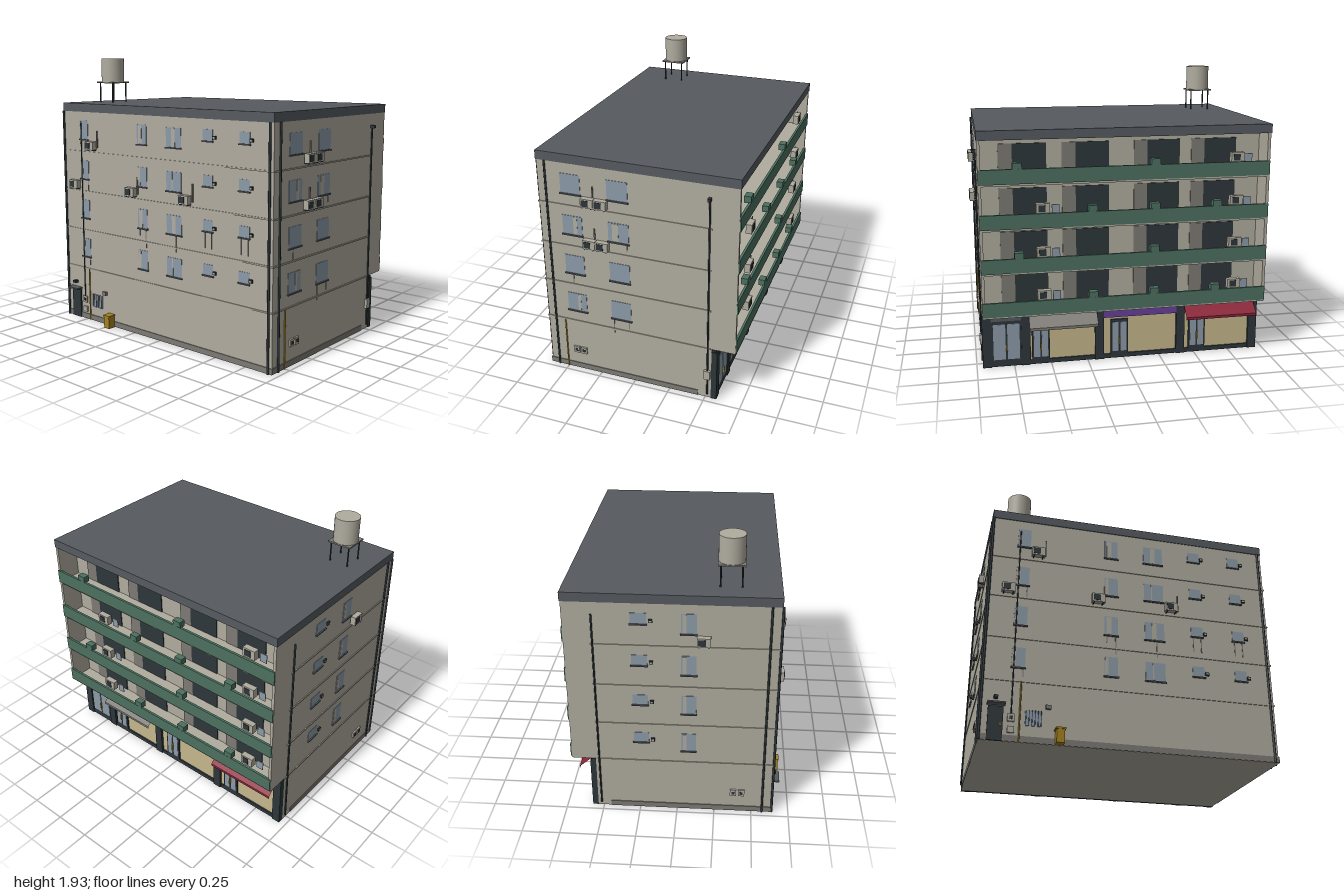
import * as THREE from 'three';

const mat = (name, color, side = THREE.FrontSide) => {
  const m = new THREE.MeshStandardMaterial({ color, side });
  m.name = name;
  return m;
};

export function createModel() {
  const root = new THREE.Group();
  root.name = 'apartmentBlock';
  const wall = mat('plaster', 0xb0ac9f);
  const slate = mat('roofSlate', 0x565b60);
  const stone = mat('greyStone', 0x7d7a74, THREE.DoubleSide);
  const dark = mat('darkMetal', 0x2d363a);
  const glass = mat('windowGlass', 0x8c9ba8);
  const green = mat('balconyGreen', 0x4c7060);
  const yellow = mat('ochre', 0xa3821f);
  const cream = mat('shopCream', 0xc4b78c);
  const purple = mat('signPurple', 0x6a3f9c);
  const red = mat('awningRed', 0x8a2338, THREE.DoubleSide);

  const add = (parent, name, geo, m, x, y, z) => {
    const mesh = new THREE.Mesh(geo, m);
    mesh.name = name;
    mesh.position.set(x, y, z);
    parent.add(mesh);
    return mesh;
  };
  // box given by its ranges along each axis
  const box = (p, name, m, x0, x1, y0, y1, z0, z1) =>
    add(p, name, new THREE.BoxGeometry(x1 - x0, y1 - y0, z1 - z0), m, (x0 + x1) / 2, (y0 + y1) / 2, (z0 + z1) / 2);
  const pipe = (p, name, m, x, y0, y1, z, r = 0.006) =>
    add(p, name, new THREE.CylinderGeometry(r, r, y1 - y0, 8), m, x, (y0 + y1) / 2, z);
  // each facade has local x across, y up and z outwards
  const facade = (name, angle, x, z) => {
    const g = new THREE.Group();
    g.name = name;
    g.rotation.y = angle;
    g.position.set(x, 0, z);
    root.add(g);
    return g;
  };
  const W = 0.955, FZ = 0.63, BZ = -0.54;
  const floors = [0.48, 0.77, 1.06, 1.35];

  // Main volume, plinth and roof
  box(root, 'body', wall, -W, W, 0, 1.55, BZ, FZ);
  box(root, 'plinth', stone, -W - 0.005, W + 0.005, 0.001, 0.04, -0.45, FZ + 0.006);
  box(root, 'roofSlab', slate, -0.96, 0.957, 1.55, 1.61, -0.702, 0.635);

  const front = facade('frontFacade', 0, 0, FZ);
  const right = facade('leftFacade', Math.PI / 2, W, 0);
  const left = facade('rightFacade', -Math.PI / 2, -W, 0);
  const back = facade('backFacade', Math.PI, 0, BZ);

  // Window with a curtain strip and a sill
  const windowUnit = (p, u0, u1, y0, y1, c0, c1) => {
    const w = u1 - u0;
    box(p, 'windowPane', glass, u0, u1, y0, y1, -0.004, 0.003);
    if (c1 > c0) box(p, 'curtain', wall, u0 + w * c0, u0 + w * c1, y0 + 0.008, y1 - 0.006, -0.004, 0.0045);
    box(p, 'windowSill', slate, u0 - 0.005, u1 + 0.005, y0 - 0.006, y0 + 0.003, -0.004, 0.011);
  };
  const stain = (p, u, y0, y1) => box(p, 'drainStrip', stone, u - 0.003, u + 0.003, y0, y1, -0.001, 0.003);
  const vent = (p, u, y) => {
    box(p, 'ventBox', dark, u - 0.012, u + 0.012, y - 0.01, y + 0.012, 0, 0.012);
    box(p, 'ventFace', wall, u - 0.008, u + 0.008, y - 0.005, y + 0.005, 0.01, 0.014);
  };
  const airConditioner = (p, u, y, w = 0.085, riser = 0) => {
    const g = new THREE.Group();
    g.name = 'airConditioner';
    g.position.set(u, y, 0);
    p.add(g);
    box(g, 'casing', wall, -w / 2, w / 2, -0.03, 0.03, 0.006, 0.042);
    box(g, 'fanGrille', dark, -0.034, 0.012, -0.021, 0.021, 0.038, 0.045);
    for (const s of [-1, 1]) box(g, 'bracket', dark, s * 0.03 - 0.003, s * 0.03 + 0.003, -0.036, -0.03, 0, 0.042);
    if (riser) box(g, 'riser', stone, riser - 0.004, riser + 0.004, -0.015, 0.105, 0, 0.008);
  };
  const meter = (p, u, y) => {
    box(p, 'meterBox', wall, u - 0.021, u + 0.021, y - 0.024, y + 0.024, 0, 0.012);
    box(p, 'meterDial', dark, u - 0.01, u + 0.01, y - 0.01, y + 0.01, 0.01, 0.015);
  };

  // Front windows
  floors.forEach((y, i) => {
    windowUnit(front, -0.785, -0.7, y, y + 0.137, i % 2 ? 0.05 : 0.02, i % 2 ? 0.15 : 0.3);
    windowUnit(front, -0.195, -0.105, y, y + 0.137, i % 2 ? 0.15 : 0.05, i % 2 ? 0.5 : 0.3);
    windowUnit(front, 0.078, 0.212, y - 0.002, y + 0.13, 0.36, i % 2 ? 0.6 : 0.42);
    for (const u of [0.4, 0.695]) {
      windowUnit(front, u, u + 0.083, y + 0.06, y + 0.135, 0, 0);
      vent(front, u + 0.098, y + 0.085);
      if (i === 1) for (const d of [0.015, 0.07]) stain(front, u + d, y - 0.05, y + 0.06);
    }
  });
  [[-0.71, 0.42, 0.48], [-0.71, 0.98, 1.06], [-0.18, 0.72, 0.77], [-0.12, 0.64, 0.77], [0.16, 0.65, 0.77]]
    .forEach(([u, a, b]) => stain(front, u, a, b));
  airConditioner(front, -0.65, 1.313, 0.085, 0.05);
  airConditioner(front, -0.832, 1.02);
  airConditioner(front, -0.243, 1.02, 0.085, 0.048);
  airConditioner(front, 0.26, 1.02, 0.085, 0.052);

  // Side windows
  floors.forEach((y, i) => {
    windowUnit(right, -0.472, -0.335, y - 0.006, y + 0.13, 0.55, i === 2 ? 0.75 : i ? 0.55 : 0.7);
    windowUnit(right, -0.155, -0.015, y - 0.006, y + 0.13, 0.2, i === 2 ? 0.5 : 0.2);
    windowUnit(left, -0.28, -0.18, y + 0.06, y + 0.135, 0, 0);
    vent(left, -0.155, y + 0.085);
    windowUnit(left, 0.03, 0.125, y, y + 0.137, 0.1, 0.35);
  });
  for (const y of [1.02, 1.313]) {
    airConditioner(right, -0.278, y, 0.085, 0.028);
    airConditioner(right, -0.19, y);
  }
  airConditioner(left, 0.17, 1.313);
  [[-0.42, 0.69, 0.76], [-0.14, 0.36, 0.47], [-0.03, 0.41, 0.47], [-0.03, 1.0, 1.06]].forEach(([u, a, b]) => stain(right, u, a, b));
  for (const u of [0.375, 0.43]) {
    meter(right, -u, 0.155);
    meter(left, u, 0.155);
  }
  box(right, 'serviceBox', wall, 0.492, 0.535, 0.155, 0.22, 0, 0.02);
  box(right, 'wallCamera', dark, 0.505, 0.525, 1.45, 1.47, 0, 0.03);

  // Floor bands and drain pipes
  for (const y of [0.39, 0.68, 0.97, 1.26])
    box(root, 'floorBand', wall, -W - 0.006, W + 0.006, y - 0.005, y + 0.005, BZ + 0.01, FZ + 0.006);
  for (const u of [0.93, -0.955]) pipe(front, 'drainPipe', dark, u, 0, 1.55, 0.008, 0.008);
  pipe(front, 'servicePipe', dark, -0.77, 0.17, 1.47, 0.006, 0.004);
  pipe(front, 'gasPipe', yellow, -0.718, 0, 0.39, 0.005, 0.005);
  for (const [p, s] of [[right, 1], [left, -1]]) {
    pipe(p, 'drainPipe', dark, -0.572 * s, 0, 1.55, 0.007, 0.007);
    pipe(p, 'servicePipe', dark, 0.515 * s, 0.03, 1.47, 0.007, 0.006);
    if (s > 0) pipe(p, 'gasPipe', yellow, -0.503, 0, 0.38, 0.005, 0.005);
  }

  // Front entrance, barred window, meters and bin
  box(front, 'frontDoor', dark, -0.91, -0.817, 0, 0.215, -0.002, 0.01);
  box(front, 'doorHandle', yellow, -0.835, -0.83, 0.09, 0.11, 0.01, 0.016);
  box(front, 'doorCanopy', slate, -0.918, -0.808, 0.222, 0.232, 0, 0.052);
  box(front, 'doorLamp', dark, -0.88, -0.855, 0.262, 0.28, 0, 0.03);
  box(front, 'barredWindow', glass, -0.685, -0.583, 0.108, 0.205, 0, 0.005);
  for (let i = 0; i < 6; i++) pipe(front, 'windowBar', slate, -0.68 + i * 0.0185, 0.108, 0.205, 0.01, 0.002);
  box(front, 'junctionBox', stone, -0.563, -0.53, 0.222, 0.247, 0, 0.02);
  meter(front, -0.77, 0.15);
  box(front, 'meterBox', wall, -0.79, -0.748, 0.055, 0.095, 0, 0.012);
  box(front, 'bin', yellow, -0.5, -0.45, 0, 0.09, 0.012, 0.066);
  box(front, 'binLid', yellow, -0.506, -0.444, 0.085, 0.096, 0.008, 0.07);

  // Balconies: end walls, slabs, doors and green parapets (local x is mirrored here)
  for (const s of [-1, 1]) box(back, 'balconyEndWall', wall, s * 0.945 - 0.01, s * 0.945 + 0.01, 0.39, 1.55, 0, 0.158);
  floors.forEach((y, i) => {
    const f = y - 0.09;
    box(back, 'balconySlab', wall, -W, W, f, f + 0.02, 0, 0.158);
    box(back, 'balconyParapet', green, -0.953, 0.953, f + 0.012, f + 0.107, 0.15, 0.166);
    for (const u of [-0.62, -0.21, 0.27, 0.66]) {
      box(back, 'balconyDoor', dark, u - 0.11, u + 0.11, f + 0.02, f + 0.245, 0, 0.006);
      box(back, 'doorCurtain', stone, u - 0.2, u - 0.11, f + 0.02, f + 0.245, 0, 0.006);
    }
    for (const u of [-0.71, -0.23, 0.18, 0.6].filter((_, k) => (k + i) % 2 || k === 2))
      box(back, 'planter', green, u - 0.03, u + 0.03, f + 0.1, f + 0.145, 0.12, 0.165);
    for (const u of [-0.55, 0.74].filter((_, k) => i < 3 || k)) {
      box(back, 'balconyUnit', wall, u - 0.045, u + 0.045, f + 0.1, f + 0.165, 0.1, 0.14);
      box(back, 'unitGrille', dark, u - 0.03, u + 0.015, f + 0.112, f + 0.155, 0.138, 0.144);
      box(back, 'laundry', glass, u + 0.06, u + 0.11, f + 0.09, f + 0.15, 0.1, 0.105);
    }
  });

  // Ground floor shops
  box(back, 'shopFront', cream, -0.94, 0.94, 0.03, 0.36, 0, 0.02);
  box(back, 'shopBase', dark, -W, W, 0, 0.03, 0, 0.03);
  box(back, 'shopLintel', dark, -W, W, 0.35, 0.385, 0, 0.03);
  for (const u of [-0.93, -0.67, -0.17, 0.4, 0.925])
    box(back, 'shopPillar', dark, u - 0.03, u + 0.03, 0, 0.37, 0, 0.038);
  const doubleDoor = (u0, u1, y1) => {
    box(back, 'shopDoorFrame', dark, u0, u1, 0.02, y1, 0.01, 0.03);
    const mid = (u0 + u1) / 2, e = 0.012;
    for (const [a, b] of [[u0 + e, mid - e / 2], [mid + e / 2, u1 - e]])
      box(back, 'shopDoorGlass', glass, a, b, 0.05, y1 - 0.02, 0.028, 0.034);
    box(back, 'shopDoorHandle', yellow, mid - 0.004, mid + 0.004, 0.1, 0.15, 0.03, 0.045);
  };
  doubleDoor(-0.9, -0.7, 0.32);
  doubleDoor(-0.63, -0.51, 0.28);
  doubleDoor(-0.09, 0.03, 0.28);
  doubleDoor(0.46, 0.58, 0.28);
  box(back, 'entranceSign', slate, -0.9, -0.7, 0.32, 0.36, 0.01, 0.03);
  [[-0.64, -0.2, yellow], [-0.14, 0.37, purple], [0.43, 0.895, red]].forEach(([a, b, m]) =>
    box(back, 'shopSign', m, a, b, 0.3, 0.355, 0.015, 0.042));

  // Sloping awnings with a short valance
  const awning = (u0, u1, m) => {
    const s = new THREE.BufferGeometry();
    const rows = [[0.36, 0.04], [0.29, 0.12], [0.272, 0.12]];
    const pts = rows.flatMap(([y, z]) => [u0, y, z, u1, y, z]);
    s.setAttribute('position', new THREE.Float32BufferAttribute(pts, 3));
    s.setIndex([0, 2, 3, 0, 3, 1, 2, 4, 5, 2, 5, 3]);
    const flat = s.toNonIndexed();
    flat.computeVertexNormals();
    add(back, 'awning', flat, m, 0, 0, 0);
  };
  awning(-0.65, -0.19, stone);
  awning(0.42, 0.92, red);

  // Rooftop water tank on its stand
  const tank = new THREE.Group();
  tank.name = 'waterTank';
  tank.position.set(-0.757, 0, 0.325);
  root.add(tank);
  add(tank, 'tankBody', new THREE.CylinderGeometry(0.083, 0.083, 0.17, 32), wall, 0, 1.845, 0);
  box(tank, 'tankPlatform', stone, -0.084, 0.084, 1.75, 1.76, -0.084, 0.084);
  for (const x of [-0.066, 0.066]) for (const z of [-0.066, 0.066]) pipe(tank, 'tankLeg', dark, x, 1.61, 1.75, z, 0.005);

  return root;
}
